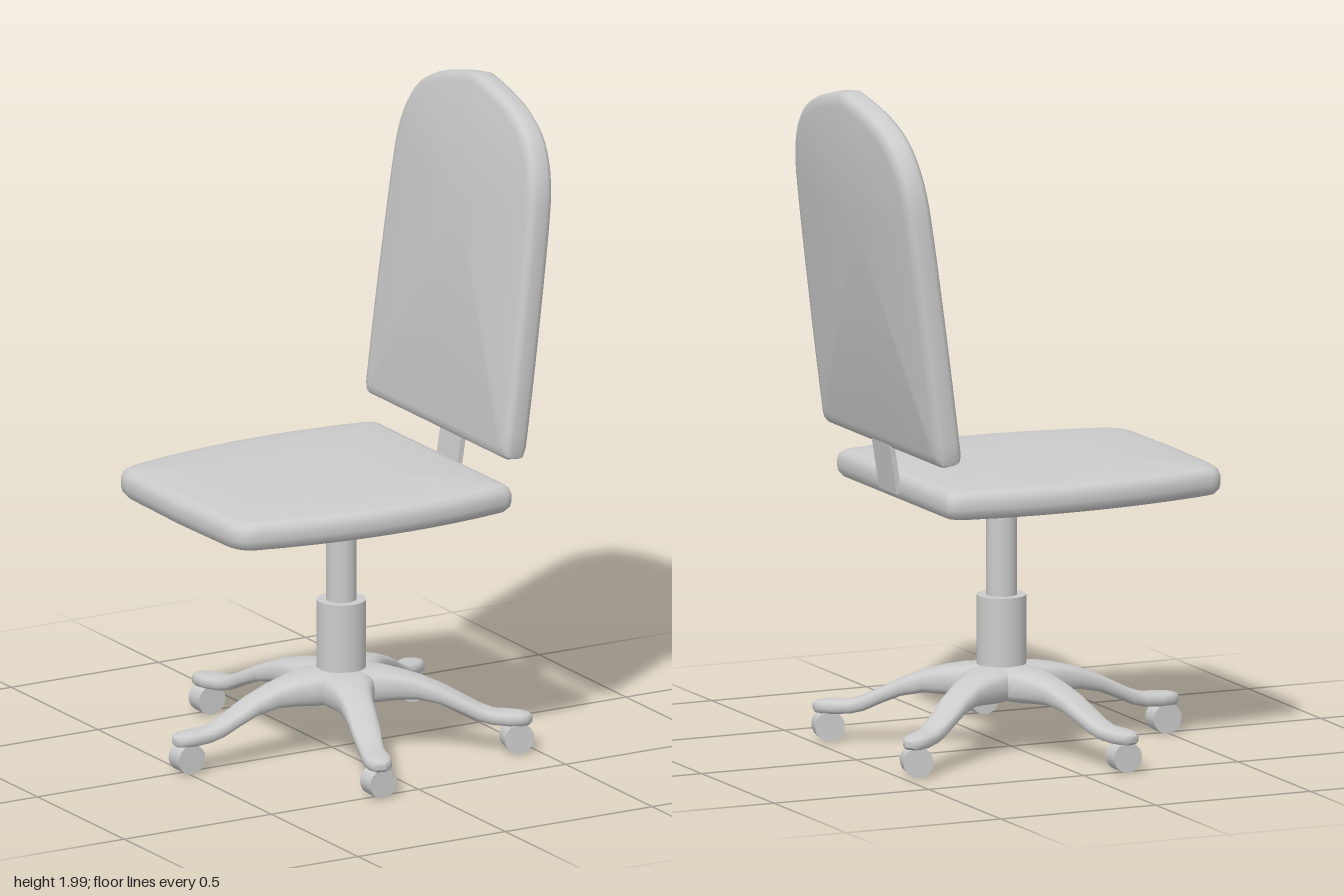
import * as THREE from 'three';
import { toCreasedNormals } from 'three/addons/utils/BufferGeometryUtils.js';

const material = new THREE.MeshStandardMaterial({ color: 0xcccccc });

function addMesh(parent, name, geometry, x = 0, y = 0, z = 0) {
  const mesh = new THREE.Mesh(geometry, material);
  mesh.name = name;
  mesh.position.set(x, y, z);
  parent.add(mesh);
  return mesh;
}

// Closed skin over a list of rings with equal point counts, capped at both ends
function loft(rings) {
  const n = rings[0].length;
  const pos = rings.flat().flatMap((p) => [p.x, p.y, p.z]);
  const index = [];
  for (let k = 0; k < rings.length - 1; k++) {
    for (let i = 0; i < n; i++) {
      const a = k * n + i, b = k * n + (i + 1) % n;
      index.push(a, b, b + n, a, b + n, a + n);
    }
  }
  [0, rings.length - 1].forEach((k, end) => {
    const c = new THREE.Vector3();
    rings[k].forEach((p) => c.addScaledVector(p, 1 / n));
    const ci = pos.push(c.x, c.y, c.z) / 3 - 1;
    for (let i = 0; i < n; i++) {
      const a = k * n + i, b = k * n + (i + 1) % n;
      if (end) index.push(ci, a, b);
      else index.push(ci, b, a);
    }
  });
  const g = new THREE.BufferGeometry();
  g.setAttribute('position', new THREE.Float32BufferAttribute(pos, 3));
  g.setIndex(index);
  return toCreasedNormals(g, 0.75);
}

// Cushion lying flat: half outline mirrored, stacked at [inset, height] levels
function pad(half, levels) {
  const outline = [...half, ...half.slice(1, -1).reverse().map((p) => new THREE.Vector2(p.x, -p.y))];
  const box = new THREE.Box2().setFromPoints(outline);
  const c = box.getCenter(new THREE.Vector2());
  const s = box.getSize(new THREE.Vector2()).multiplyScalar(0.5);
  return loft(levels.map(([inset, h]) => outline.map((p) => new THREE.Vector3(
    c.x + (p.x - c.x) * (1 - inset / s.x), h, -p.y * (1 - inset / s.y)))));
}

function seatGeometry() {
  const s = new THREE.Shape();
  s.moveTo(0.38, 0);
  s.lineTo(0.38, 0.37);
  s.quadraticCurveTo(0.38, 0.398, 0.34, 0.405);
  s.quadraticCurveTo(-0.065, 0.476, -0.48, 0.37);
  s.quadraticCurveTo(-0.535, 0.36, -0.54, 0.28);
  s.lineTo(-0.547, 0);
  return pad(s.getPoints(10), [
    [0.035, 0.77], [0.014, 0.776], [0.003, 0.79], [0, 0.805], [0, 0.825],
    [0.005, 0.842], [0.018, 0.853], [0.04, 0.858], [0.13, 0.864], [0.28, 0.869],
  ]);
}

function backrestGeometry() {
  const side = [[1.07, 0], [1.052, 0.1], [1.015, 0.225], [0.95, 0.325], [0.84, 0.385],
    [0.68, 0.404], [0.3, 0.413], [0.025, 0.412]].map((p) => new THREE.Vector2(...p));
  const half = new THREE.SplineCurve(side).getPoints(28);
  half.push(new THREE.Vector2(0.006, 0.406), new THREE.Vector2(0, 0.39), new THREE.Vector2(0, 0));
  return pad(half, [
    [0.035, -0.041], [0.014, -0.036], [0.003, -0.026], [0, -0.015],
    [0, 0.018], [0.003, 0.028], [0.012, 0.037], [0.03, 0.041],
  ]);
}

// Curved leg running along +x; stations are [radius, half width, bottom, top]
function legGeometry() {
  const stations = [
    [0, 0.09, 0.155, 0.257], [0.07, 0.088, 0.155, 0.256], [0.12, 0.078, 0.156, 0.253],
    [0.17, 0.06, 0.16, 0.245], [0.23, 0.05, 0.163, 0.23], [0.3, 0.046, 0.15, 0.203],
    [0.36, 0.043, 0.125, 0.173], [0.41, 0.039, 0.101, 0.148], [0.45, 0.038, 0.091, 0.134],
    [0.5, 0.042, 0.088, 0.131], [0.535, 0.038, 0.088, 0.129], [0.555, 0.026, 0.09, 0.125],
    [0.565, 0.01, 0.098, 0.117],
  ];
  const bulge = (v) => Math.sign(v) * Math.abs(v) ** 0.65;
  return loft(stations.map(([r, w, lo, hi]) => Array.from({ length: 20 }, (_, i) => {
    const a = (i / 20) * Math.PI * 2;
    return new THREE.Vector3(r, (lo + hi) / 2 + bulge(Math.cos(a)) * (hi - lo) / 2, bulge(Math.sin(a)) * w);
  })));
}

export function createModel() {
  const chair = new THREE.Group();
  chair.name = 'officeChair';
  const cx = 0.025, cz = 0.013;

  // Cushions
  addMesh(chair, 'seat', seatGeometry(), 0, 0, cz);
  const backrest = addMesh(chair, 'backrest', backrestGeometry(), 0.373, 0.936, 0.02);
  backrest.rotation.z = Math.PI / 2 - 0.127;

  // Flat bracket joining seat and backrest
  const bracket = addMesh(chair, 'backBracket', new THREE.BoxGeometry(0.016, 0.2, 0.122), 0.394, 0.895, 0.025);
  bracket.rotation.z = -0.16;

  // Gas lift column
  addMesh(chair, 'upperColumn', new THREE.CylinderGeometry(0.045, 0.045, 0.34, 32), cx, 0.61, cz);
  addMesh(chair, 'lowerColumn', new THREE.CylinderGeometry(0.073, 0.073, 0.26, 32), cx, 0.33, cz);

  // Five-legged base with casters
  const leg = legGeometry();
  const stem = new THREE.CylinderGeometry(0.018, 0.018, 0.06, 12);
  const wheel = new THREE.CylinderGeometry(0.045, 0.045, 0.06, 20).rotateX(Math.PI / 2);
  for (let i = 0; i < 5; i++) {
    const angle = Math.PI + (i * Math.PI * 2) / 5;
    const x = cx + Math.cos(angle) * 0.52, z = 0.005 - Math.sin(angle) * 0.52;
    addMesh(chair, 'baseLeg', leg, cx, 0, 0.005).rotation.y = angle;
    addMesh(chair, 'casterStem', stem, x, 0.085, z);
    addMesh(chair, 'casterWheel', wheel, x, 0.052, z).rotation.y = x > 0 ? -0.25 : 0;
  }
  return chair;
}
